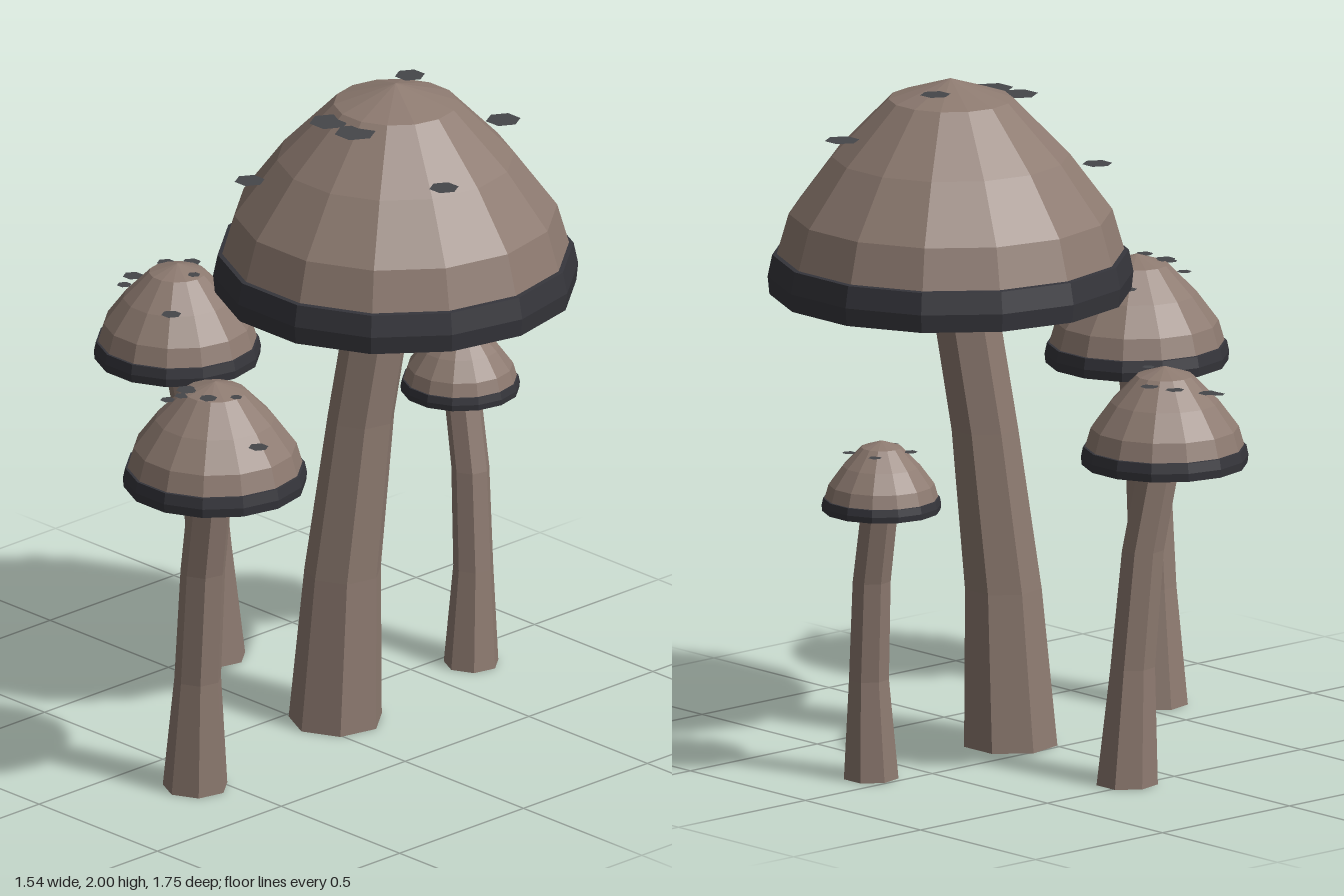
import * as THREE from 'three';

const flat = (color, side = THREE.FrontSide) => new THREE.MeshStandardMaterial({ color, side, flatShading: true });
const flesh = flat(0x8d7a70);
const dark = flat(0x35353b);
const spotDark = flat(0x45464a, THREE.DoubleSide);

// Profiles are in units of the cap radius, measured up from the rim's lower edge
const domeProfile = [[0.95, 0.224], [0.885, 0.449], [0.65, 0.766], [0.34, 1.084], [0, 1.196]];
const rimProfile = [[0.19, 0.3], [0.82, 0.17], [0.99, 0], [1, 0.1], [0.975, 0.22], [0.94, 0.224]];
const collarProfile = [[0, 0.3], [0.2, 0.3]];

// Each stem ring: x, y, z, radius. Each spot: x, z, radius
const mushrooms = [
  {
    name: 'largeMushroom', x: 0.235, z: -0.215, rim: 1.36, radius: 0.535,
    stem: [[0.125, 0, -0.08, 0.14], [0.14, 0.47, -0.095, 0.115], [0.17, 0.95, -0.14, 0.1], [0.225, 1.52, -0.21, 0.098]],
    spots: [[0.37, -0.52, 0.052], [0.18, -0.325, 0.045], [0.185, 0.005, 0.06], [0.295, 0.005, 0.062], [0.575, -0.085, 0.044], [0, 0.15, 0.045]],
  },
  {
    name: 'frontMushroom', x: 0.335, z: 0.61, rim: 1.0, radius: 0.27,
    stem: [[0.215, 0, 0.573, 0.097], [0.235, 0.35, 0.582, 0.07], [0.265, 0.7, 0.59, 0.067], [0.33, 1.08, 0.608, 0.065]],
    spots: [[0.24, 0.485, 0.03], [0.425, 0.61, 0.018], [0.55, 0.64, 0.03], [0.38, 0.68, 0.027], [0.29, 0.68, 0.032], [0.245, 0.715, 0.022], [0.295, 0.705, 0.022]],
  },
  {
    name: 'sideMushroom', x: -0.53, z: -0.065, rim: 0.955, radius: 0.245,
    stem: [[-0.47, 0, -0.16, 0.092], [-0.478, 0.35, -0.145, 0.067], [-0.495, 0.7, -0.12, 0.063], [-0.53, 1.03, -0.07, 0.062]],
    spots: [[-0.575, -0.165, 0.028], [-0.635, -0.12, 0.028], [-0.665, -0.015, 0.031], [-0.655, 0.03, 0.022], [-0.46, -0.065, 0.019], [-0.42, 0.065, 0.03]],
  },
  {
    name: 'backMushroom', x: -0.005, z: -0.705, rim: 0.825, radius: 0.175,
    stem: [[0.085, 0, -0.665, 0.082], [0.08, 0.3, -0.678, 0.06], [0.055, 0.6, -0.69, 0.057], [-0.002, 0.88, -0.703, 0.055]],
    spots: [[-0.055, -0.775, 0.02], [0.07, -0.765, 0.02], [-0.07, -0.65, 0.022], [0.03, -0.63, 0.02]],
  },
];

function lathe(name, profile, material) {
  const points = profile.map(([r, y]) => new THREE.Vector2(r, y));
  const mesh = new THREE.Mesh(new THREE.LatheGeometry(points, 14, Math.PI / 2), material);
  mesh.name = name;
  return mesh;
}

// Seven-sided column whose rings follow the bent centre line
function makeStem(rings) {
  const n = rings.length - 1;
  const geometry = new THREE.CylinderGeometry(1, 1, n, 7, n);
  const p = geometry.attributes.position;
  for (let i = 0; i < p.count; i++) {
    const [x, y, z, r] = rings[Math.round(p.getY(i) + n / 2)];
    p.setXYZ(i, x + p.getX(i) * r, y, z + p.getZ(i) * r);
  }
  geometry.computeVertexNormals();
  const mesh = new THREE.Mesh(geometry, flesh);
  mesh.name = 'stem';
  return mesh;
}

function makeMushroom({ name, x, z, rim, radius, stem, spots }) {
  const group = new THREE.Group();
  group.name = name;
  group.add(makeStem(stem));

  // Cap: dome, dark rim with hollow underside, collar around the stem top
  const cap = new THREE.Group();
  cap.name = 'cap';
  cap.position.set(x, rim, z);
  cap.scale.setScalar(radius);
  cap.add(lathe('dome', domeProfile, flesh), lathe('rimAndUnderside', rimProfile, dark), lathe('collar', collarProfile, flesh));
  group.add(cap);

  // Flat level spots resting just above the dome
  for (const [sx, sz, r] of spots) {
    const d = Math.hypot(sx - x, sz - z) / radius;
    const spot = new THREE.Mesh(new THREE.CircleGeometry(r, 6), spotDark);
    spot.name = 'spot';
    spot.rotation.x = -Math.PI / 2;
    spot.position.set(sx, rim + radius * (1.196 - 0.776 * d * d), sz);
    group.add(spot);
  }
  return group;
}

export function createModel() {
  const model = new THREE.Group();
  model.name = 'mushroomCluster';
  for (const m of mushrooms) model.add(makeMushroom(m));
  return model;
}
